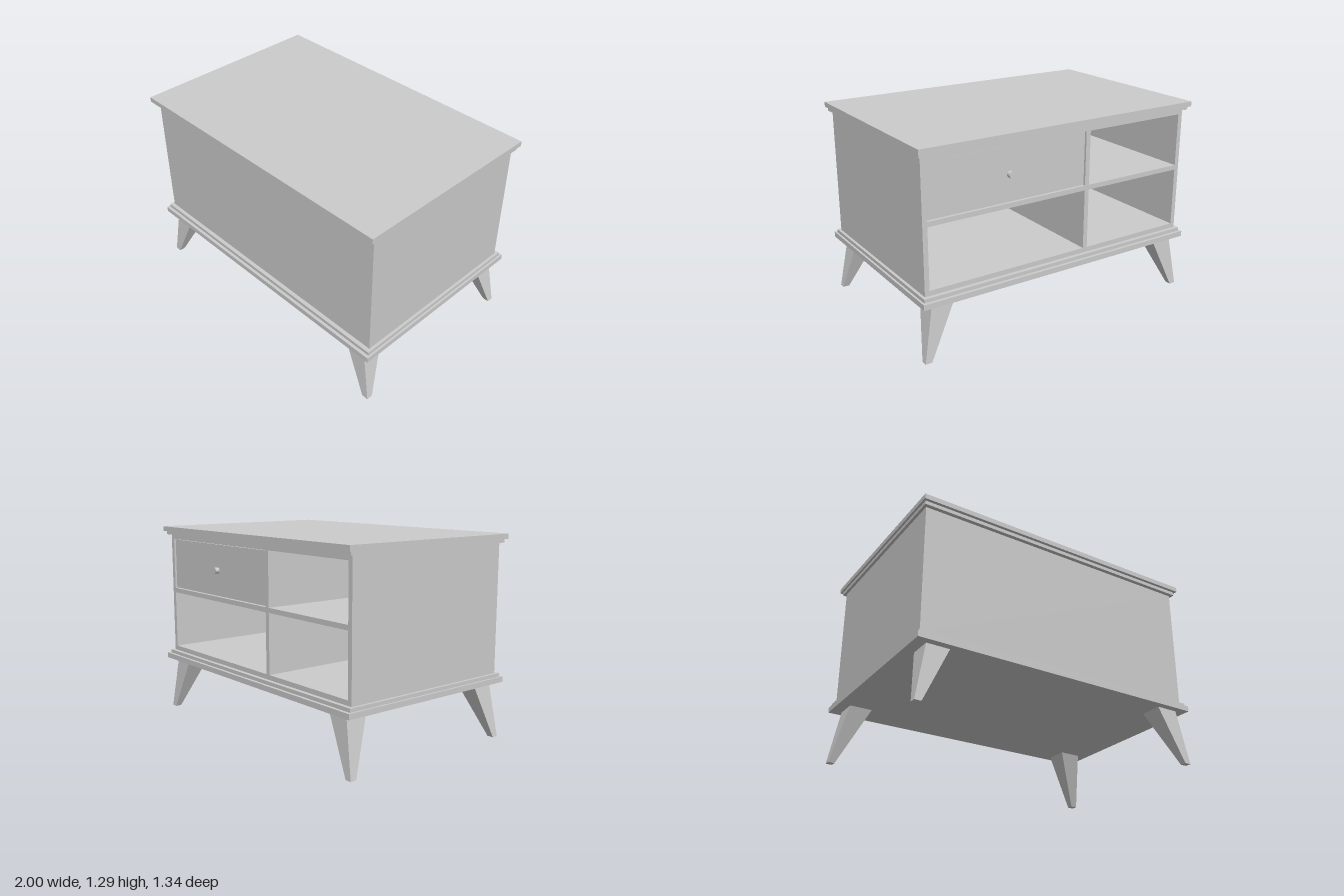
import * as THREE from 'three';

const material = new THREE.MeshStandardMaterial({ color: 0xcccccc });

function add(parent, name, geometry, x = 0, y = 0, z = 0) {
  const mesh = new THREE.Mesh(geometry, material);
  mesh.name = name;
  mesh.position.set(x, y, z);
  parent.add(mesh);
  return mesh;
}

// Box given by its half width, half depth and vertical range
function slab(parent, name, halfW, halfD, y0, y1) {
  add(parent, name, new THREE.BoxGeometry(halfW * 2, y1 - y0, halfD * 2), 0, (y0 + y1) / 2, 0);
}

// Rectangular outline, used for the carcass and its openings
function rect(target, x0, x1, y0, y1) {
  target.moveTo(x0, y0);
  target.lineTo(x1, y0);
  target.lineTo(x1, y1);
  target.lineTo(x0, y1);
  target.closePath();
  return target;
}

// Tapered leg that splays outwards towards its corner
function legGeometry(sx, sz) {
  const top = { x: [0.762, 0.91], z: [0.45, 0.597], y: 0.355 };
  const foot = { x: [0.932, 0.975], z: [0.58, 0.62], y: 0 };
  const geometry = new THREE.BoxGeometry(2, 2, 2);
  const p = geometry.attributes.position;
  for (let i = 0; i < p.count; i++) {
    const end = p.getY(i) > 0 ? top : foot;
    const outerX = p.getX(i) * sx > 0 ? 1 : 0;
    const outerZ = p.getZ(i) * sz > 0 ? 1 : 0;
    p.setXYZ(i, sx * end.x[outerX], end.y, sz * end.z[outerZ]);
  }
  geometry.computeVertexNormals();
  return geometry;
}

export function createModel() {
  const model = new THREE.Group();
  model.name = 'mediaCabinet';
  const cabinet = new THREE.Group();
  cabinet.name = 'cabinet';
  cabinet.rotation.y = 0.026; // the whole piece stands slightly turned
  model.add(cabinet);

  // Stepped top and base
  slab(cabinet, 'topBoard', 0.983, 0.643, 1.255, 1.287);
  slab(cabinet, 'topMoulding', 0.97, 0.623, 1.232, 1.255);
  slab(cabinet, 'baseMoulding', 0.97, 0.623, 0.39, 0.413);
  slab(cabinet, 'baseBoard', 0.983, 0.643, 0.355, 0.39);

  // Carcass: a frame with four openings, open towards -z
  const halfW = 0.952, halfD = 0.597, panel = 0.031;
  const columns = [[-0.921, -0.198], [-0.167, 0.921]];
  const rows = [[0.444, 0.827], [0.858, 1.201]];
  const frame = rect(new THREE.Shape(), -halfW, halfW, 0.413, 1.232);
  for (const [x0, x1] of columns) {
    for (const [y0, y1] of rows) frame.holes.push(rect(new THREE.Path(), x0, x1, y0, y1));
  }
  const depth = halfD * 2 - panel;
  add(cabinet, 'carcass', new THREE.ExtrudeGeometry(frame, { depth, bevelEnabled: false }), 0, 0, -halfD);
  add(cabinet, 'closingPanel', new THREE.BoxGeometry(halfW * 2, 0.819, panel), 0, 0.8225, halfD - panel / 2);

  // Drawer in the wide upper opening, with a small round knob
  const drawer = new THREE.Group();
  drawer.name = 'drawer';
  cabinet.add(drawer);
  add(drawer, 'drawerBox', new THREE.BoxGeometry(1.08, 0.335, 1.1), 0.377, 1.0295, -0.587 + 0.55);
  add(drawer, 'knob', new THREE.CylinderGeometry(0.02, 0.02, 0.03, 20).rotateX(Math.PI / 2), 0.377, 1.03, -0.6);

  // Four splayed legs
  for (const sx of [-1, 1]) {
    for (const sz of [-1, 1]) {
      add(cabinet, (sz > 0 ? 'front' : 'back') + (sx > 0 ? 'Left' : 'Right') + 'Leg', legGeometry(sx, sz));
    }
  }
  return model;
}
